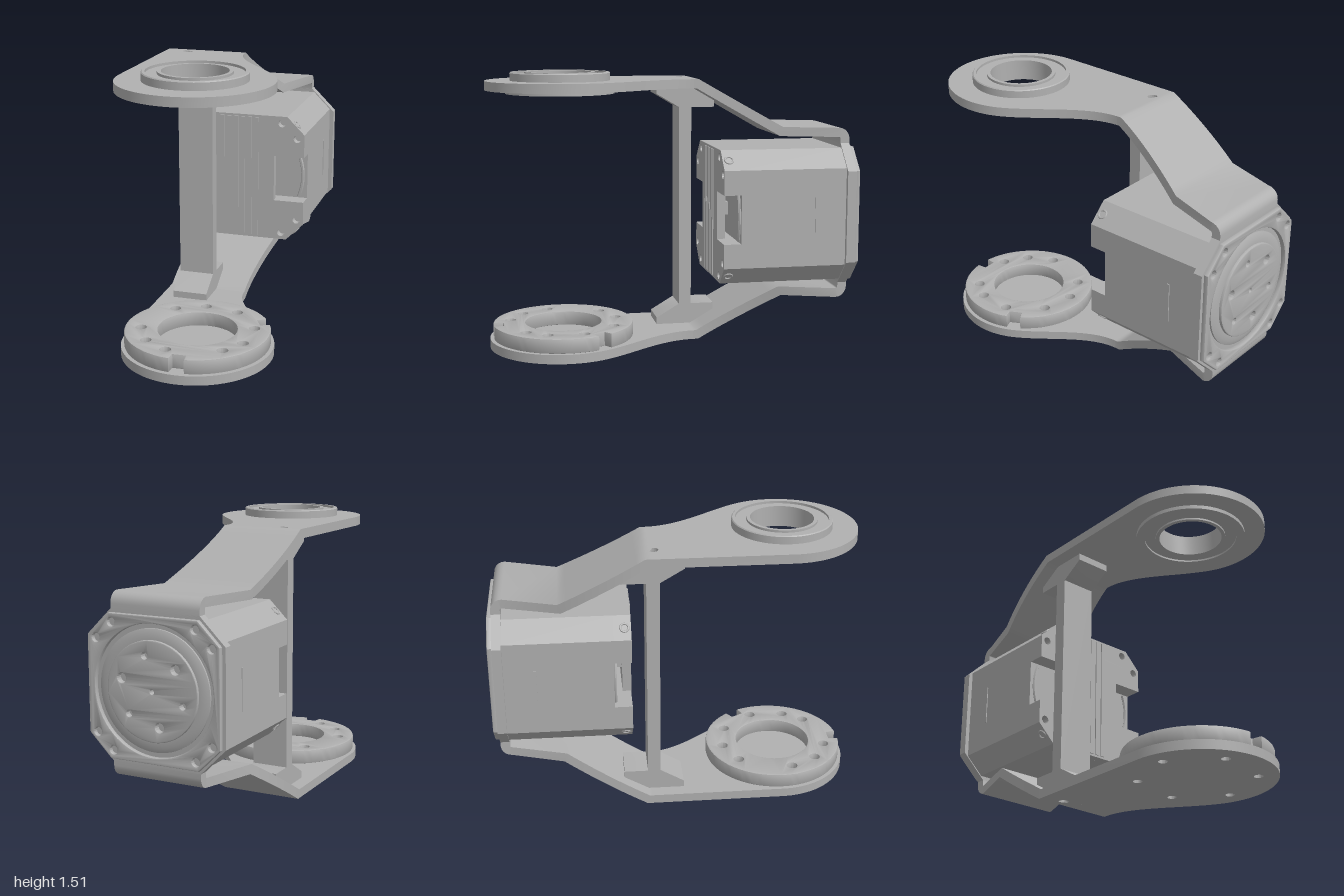
import * as THREE from 'three';
import { toCreasedNormals } from 'three/addons/utils/BufferGeometryUtils.js';

const MID = 0.7325; // height of the motor axis; the bracket mirrors about it

export function createModel() {
  const model = new THREE.Group();
  model.name = 'motorBracketAssembly';
  const metal = new THREE.MeshStandardMaterial({ color: 0xb0b0b0 });
  metal.name = 'grey metal';

  const add = (name, geo, parent = model) => {
    const mesh = new THREE.Mesh(toCreasedNormals(geo, 0.6), metal);
    mesh.name = name;
    parent.add(mesh);
    return mesh;
  };
  const circle = (x, y, r) => new THREE.Path().absarc(x, y, r, 0, Math.PI * 2, true);
  const poly = (pts) => new THREE.Shape(pts.map(([x, y]) => new THREE.Vector2(x, y)));
  const slab = (shape, z0, z1, bevel = 0) => new THREE.ExtrudeGeometry(shape, {
    depth: z1 - z0 - 2 * bevel, curveSegments: 32, bevelEnabled: bevel > 0,
    bevelSize: bevel, bevelOffset: -bevel, bevelThickness: bevel, bevelSegments: 2,
  }).translate(0, 0, z0 + bevel);
  // lays a shape drawn in (x, -z) flat, between two heights
  const flat = (shape, y0, y1, bevel) => slab(shape, y0, y1, bevel).rotateX(-Math.PI / 2);
  const lathe = (pts) => new THREE.LatheGeometry(pts.map(([r, y]) => new THREE.Vector2(r, y)), 64);
  // reflects a geometry about the motor axis and restores the winding
  const mirrorY = (geo) => {
    const g = geo.index ? geo.toNonIndexed() : geo.clone();
    g.scale(1, -1, 1).translate(0, 2 * MID, 0);
    const p = g.attributes.position, a = new THREE.Vector3(), b = new THREE.Vector3();
    for (let i = 0; i < p.count; i += 3) {
      a.fromBufferAttribute(p, i + 1);
      b.fromBufferAttribute(p, i + 2);
      p.setXYZ(i + 1, b.x, b.y, b.z);
      p.setXYZ(i + 2, a.x, a.y, a.z);
    }
    g.computeVertexNormals();
    return g;
  };

  // --- bracket arms: teardrop plate plus a bent strip
  const teardrop = () => {
    const s = new THREE.Shape();
    s.moveTo(-0.405, 0.14);
    s.lineTo(-0.405, -0.59);
    s.absarc(0, -0.59, 0.405, Math.PI, 2 * Math.PI + 0.5, false);
    s.bezierCurveTo(0.26, -0.22, 0.05, -0.06, 0.042, 0.14);
    s.holes.push(circle(-0.28, 0.12, 0.027), circle(-0.18, 0.12, 0.027));
    return s;
  };
  const bottomShape = teardrop();
  for (let i = 0; i < 6; i++) {
    const a = i * Math.PI / 3 + 0.2;
    bottomShape.holes.push(circle(0.3 * Math.cos(a), -0.59 + 0.3 * Math.sin(a), 0.024));
  }
  const topShape = teardrop();
  topShape.holes.push(circle(0, -0.59, 0.18));

  // section: inner z,y, outer z,y, left and right x
  const sections = [[-0.14, 0.05, -0.14, 0, -0.405, 0.042]];
  for (let i = 0; i <= 10; i++) {
    const t = i / 10;
    sections.push([-0.155 - 0.447 * t, 0.05 + 0.26 * t, -0.168 - 0.45 * t, 0.26 * t,
      -0.405 + 0.063 * t * t, 0.042 + 0.108 * Math.pow(t, 1.6)]);
  }
  for (let i = 0; i <= 5; i++) {
    const a = i * Math.PI / 10, s = Math.sin(a), c = Math.cos(a);
    sections.push([-0.905 - 0.01 * s, 0.32 - 0.01 * c, -0.905 - 0.06 * s, 0.32 - 0.06 * c, -0.25, 0.25]);
  }
  sections.push([-0.915, 0.37, -0.965, 0.37, -0.25, 0.25]);
  const strip = () => {
    const pos = [];
    const corners = ([zi, yi, zo, yo, l, r]) => [[l, yi, zi], [r, yi, zi], [r, yo, zo], [l, yo, zo]];
    for (let i = 0; i < sections.length - 1; i++) {
      const A = corners(sections[i]), B = corners(sections[i + 1]);
      for (let j = 0; j < 4; j++) {
        const k = (j + 1) % 4;
        pos.push(...A[j], ...A[k], ...B[k], ...A[j], ...B[k], ...B[j]);
      }
    }
    const g = new THREE.BufferGeometry();
    g.setAttribute('position', new THREE.Float32BufferAttribute(pos, 3));
    g.computeVertexNormals();
    return g;
  };
  add('lowerPlate', flat(bottomShape, 0, 0.05));
  add('upperPlate', mirrorY(flat(topShape, 0, 0.05)));
  add('lowerArm', strip());
  add('upperArm', mirrorY(strip()));

  // --- pillar joining the plates, with a wedge foot at each end
  const foot = () => slab(poly([[-0.04, 0.05], [0.155, 0.05], [0.29, 0.128], [0.29, 0.165],
    [0.09, 0.165], [-0.04, 0.088]]), -0.33, -0.13).rotateY(Math.PI / 2);
  add('pillar', new THREE.BoxGeometry(0.2, 1.18, 0.07).translate(-0.23, MID, -0.125));
  add('lowerFoot', foot());
  add('upperFoot', mirrorY(foot()));

  // --- bearing ring in the upper plate
  add('bearingRing', lathe([[0.17, 1.395], [0.19, 1.395], [0.19, 1.405], [0.25, 1.405], [0.25, 1.395],
    [0.295, 1.395], [0.295, 1.416], [0.27, 1.416], [0.27, 1.505], [0.265, 1.51], [0.25, 1.51],
    [0.25, 1.497], [0.19, 1.497], [0.19, 1.51], [0.17, 1.51], [0.17, 1.395]]).translate(0, 0, 0.59));

  // --- drilled ring on the lower plate, with two notches in the rim
  const rimPts = [];
  const rim = (r, deg) => {
    const a = deg * Math.PI / 180;
    rimPts.push([r * Math.cos(a), r * Math.sin(a)]);
  };
  for (const [from, to] of [[-82, 24], [36, 266]]) {
    const n = Math.round((to - from) / 4);
    rim(0.335, from);
    for (let i = 0; i <= n; i++) rim(0.387, from + (to - from) * i / n);
    rim(0.335, to);
  }
  const ring = poly(rimPts);
  ring.holes.push(circle(0, 0, 0.21));
  for (const deg of [-105, -47, -21, 17, 62, 99, 132, 193, 225]) {
    const a = deg * Math.PI / 180;
    ring.holes.push(circle(0.3 * Math.cos(a), 0.3 * Math.sin(a), 0.028));
  }
  add('mountingRing', flat(ring, 0.05, 0.13, 0.007).translate(0, 0, 0.59));

  // --- motor, centred on its own axis
  const motor = new THREE.Group();
  motor.name = 'motor';
  motor.position.y = MID;
  model.add(motor);
  const octagon = (h, c) => poly([[h, -c], [h, c], [c, h], [-c, h], [-h, c], [-h, -c], [-c, -h], [c, -h]]);
  const drill = (shape, r) => {
    for (const sx of [-1, 1]) for (const sy of [-1, 1]) {
      shape.holes.push(circle(sx * 0.235, sy * 0.325, r), circle(sx * 0.325, sy * 0.24, r));
    }
    return shape;
  };
  add('motorFlange', slab(octagon(0.388, 0.25), -0.965, -0.915), motor);
  add('motorBody', slab(octagon(0.365, 0.265), -0.92, -0.335), motor);
  // hollow layer behind the front plate, open on both sides
  for (const s of [-1, 1]) {
    const pts = [[0.365, 0.132], [0.365, 0.265], [0.265, 0.365], [-0.265, 0.365], [-0.365, 0.265], [-0.365, 0.132]];
    add('connectorBayWall', slab(poly(pts.map(([x, y]) => [x * s, y * s])), -0.336, -0.285), motor);
  }
  // front plate with a cut-out on either side
  const half = [[0.19, -0.132], [0.19, 0.132], [0.365, 0.132], [0.365, 0.265], [0.265, 0.365]];
  const quarter = [[0.265, -0.365], [0.365, -0.265], [0.365, -0.132]];
  const right = [...quarter, ...half];
  add('frontPlate', slab(drill(poly([...right, ...right.map(([x, y]) => [-x, -y])]), 0.022), -0.286, -0.24), motor);
  for (const x of [-0.115, -0.075, -0.035, 0.005, 0.045, 0.085]) {
    add('coolingRib', new THREE.BoxGeometry(0.026, 0.705, 0.008).translate(x, 0, -0.238), motor);
  }
  add('connector', new THREE.BoxGeometry(0.3, 0.07, 0.03).translate(0, 0.03, -0.296), motor);
  for (const s of [0, 1]) {
    add('bayRim', new THREE.TorusGeometry(0.34, 0.01, 6, 16, 0.74)
      .rotateZ(s * Math.PI - 0.37).translate(0, 0, -0.33), motor);
    add('sideClip', new THREE.BoxGeometry(0.008, 0.22, 0.014).translate(s ? 0.366 : -0.366, 0, -0.75), motor);
  }
  // screws on the chamfered corners
  for (let i = 0; i < 4; i++) {
    add('cornerScrew', new THREE.TorusGeometry(0.022, 0.006, 6, 20).rotateY(Math.PI / 2)
      .translate(0.446, 0, -0.275).rotateZ(Math.PI / 4 + i * Math.PI / 2), motor);
  }

  // --- output side at the back
  const cap = drill(octagon(0.37, 0.25), 0.022);
  cap.holes.push(circle(0, 0, 0.335));
  add('backCap', slab(cap, -0.99, -0.96, 0.006), motor);
  add('outputCollar', lathe([[0.31, 0.96], [0.31, 0.975], [0.285, 0.985], [0.25, 0.985]])
    .rotateX(-Math.PI / 2), motor);
  const disc = new THREE.Shape().absarc(0, 0, 0.255, 0, Math.PI * 2, false);
  disc.holes.push(circle(0, 0, 0.012));
  for (let i = 0; i < 6; i++) {
    const a = i * Math.PI / 3 + 0.3;
    disc.holes.push(circle(0.18 * Math.cos(a), 0.18 * Math.sin(a), i % 2 ? 0.017 : 0.025));
  }
  add('outputDisc', slab(disc, -1, -0.96, 0.005), motor);
  return model;
}
